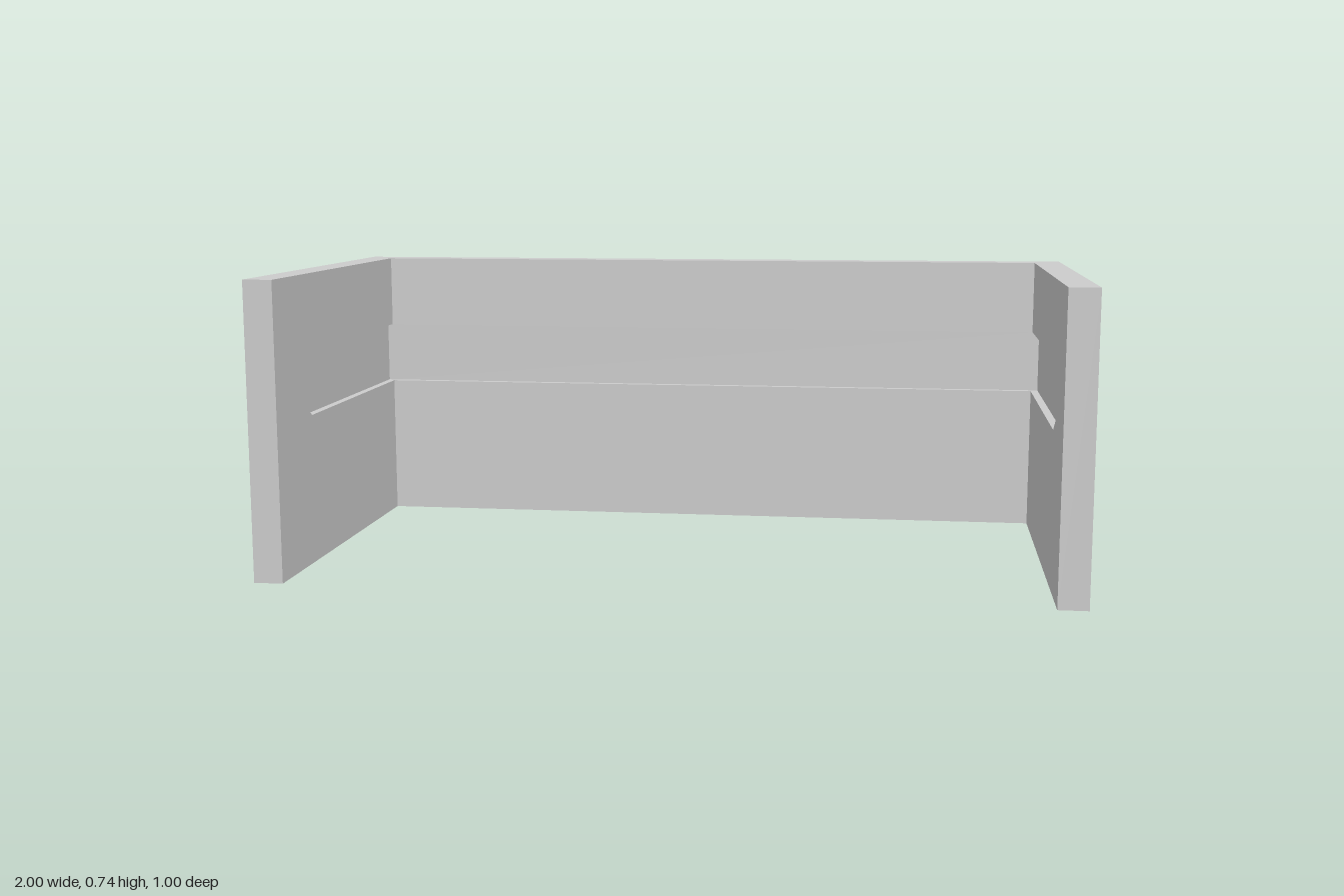
import * as THREE from 'three';
import { mergeGeometries } from 'three/addons/utils/BufferGeometryUtils.js';

const H = 0.742, Z = 0.5, T = 0.073, DEPTH = 0.02; // height, half depth, wall thickness, groove depth
const Y0 = 0.381, Y1 = 0.548;                      // groove bottom and top
const material = new THREE.MeshStandardMaterial({ color: 0xcccccc, side: THREE.DoubleSide });

// Groove outline in (z, y), running from the back corner round its chamfered front end
const groove = (zb) => [[zb, Y0], [0.26, Y0], [0.33, 0.423], [0.33, 0.506], [0.26, Y1], [zb, Y1]];

// Flat polygon in the z-y plane at x, facing +x
function sideFace(points, x) {
  const shape = new THREE.Shape(points.map(([z, y]) => new THREE.Vector2(-z, y)));
  return new THREE.ShapeGeometry(shape).rotateY(Math.PI / 2).translate(x, 0, 0);
}

// Groove edges between the surface at x and the groove floor
function grooveEdges(points, x) {
  const pos = [], f = x - DEPTH;
  for (let i = 0; i < points.length - 1; i++) {
    const [za, ya] = points[i], [zb, yb] = points[i + 1];
    pos.push(x, ya, za, f, ya, za, x, yb, zb, x, yb, zb, f, ya, za, f, yb, zb);
  }
  const g = new THREE.BufferGeometry();
  g.setAttribute('position', new THREE.Float32BufferAttribute(pos, 3));
  return g;
}

function merge(list) {
  const flat = list.map((g) => {
    const n = g.index ? g.toNonIndexed() : g;
    n.deleteAttribute('uv');
    n.computeVertexNormals();
    return n;
  });
  return mergeGeometries(flat);
}

// Grooved side surface facing +x; the groove runs out at the back corner
function sideSurface(x, zBack, zFloor) {
  const path = groove(zBack);
  const face = [[zBack, 0], [Z, 0], [Z, H], [zBack, H], ...path.slice().reverse()];
  return merge([sideFace(face, x), sideFace(groove(zFloor), x - DEPTH), grooveEdges(path, x)]);
}

// Grooved back surface; dir is the z direction it faces
function backSurface(halfW, floorHalfW, z, dir) {
  const zf = z - dir * DEPTH, turn = dir > 0 ? 0 : Math.PI;
  const band = (w, a, b, zz) =>
    new THREE.PlaneGeometry(2 * w, b - a).rotateY(turn).translate(0, (a + b) / 2, zz);
  const ledge = (y, up) =>
    new THREE.PlaneGeometry(2 * floorHalfW, DEPTH).rotateX(-up * Math.PI / 2).translate(0, y, (z + zf) / 2);
  return merge([
    band(halfW, 0, Y0, z), band(floorHalfW, Y0, Y1, zf), band(halfW, Y1, H, z),
    ledge(Y0, 1), ledge(Y1, -1),
  ]);
}

export function createModel() {
  const model = new THREE.Group();
  const add = (name, geometry, mirrored = false) => {
    const mesh = new THREE.Mesh(geometry, material);
    mesh.name = name;
    if (mirrored) mesh.scale.x = -1;
    model.add(mesh);
  };
  const xi = 1 - T, zi = -Z + T;

  // Side walls, mirrored left and right
  const outer = sideSurface(1, -Z, -Z + DEPTH);
  const inner = sideSurface(-xi, zi, zi - DEPTH);
  const end = new THREE.PlaneGeometry(T, H).translate(1 - T / 2, H / 2, Z);
  add('leftWallOuter', outer);
  add('rightWallOuter', outer, true);
  add('rightWallInner', inner);
  add('leftWallInner', inner, true);
  add('leftWallEnd', end);
  add('rightWallEnd', end, true);

  // Back wall
  add('backWallOuter', backSurface(1, 1 - DEPTH, -Z, -1));
  add('backWallInner', backSurface(xi, xi + DEPTH, zi, 1));

  // U-shaped top rim; the underside of the hollow walls stays open
  const rim = new THREE.Shape([
    [-1, -Z], [-xi, -Z], [-xi, -zi], [xi, -zi], [xi, -Z], [1, -Z], [1, Z], [-1, Z],
  ].map(([x, y]) => new THREE.Vector2(x, y)));
  add('topRim', new THREE.ShapeGeometry(rim).rotateX(-Math.PI / 2).translate(0, H, 0));

  return model;
}
